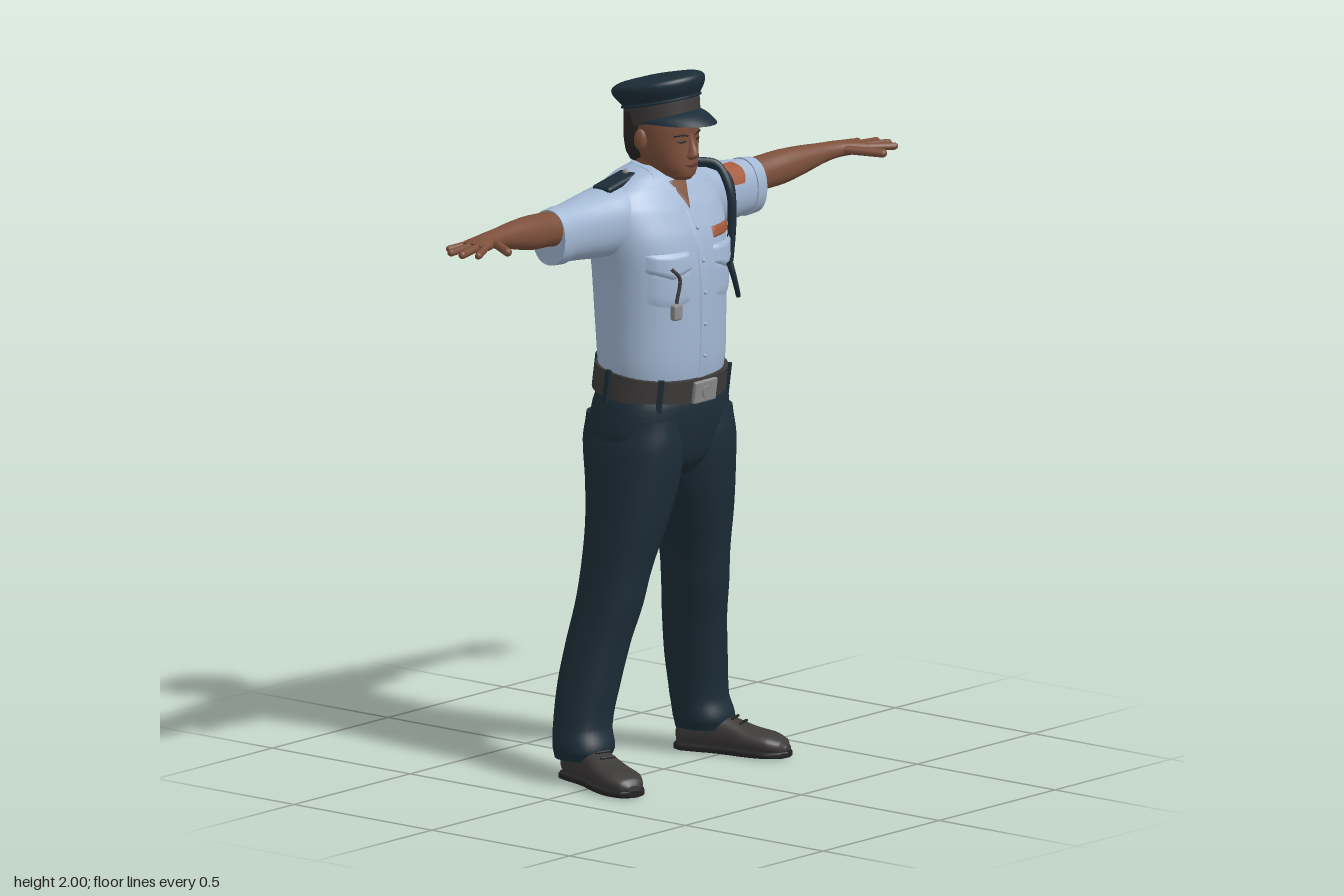
import * as THREE from 'three';
import { RoundedBoxGeometry } from 'three/addons/geometries/RoundedBoxGeometry.js';

const mat = (name, color, side = THREE.FrontSide) => Object.assign(new THREE.MeshStandardMaterial({ color, side }), { name });
const V = (x, y, z) => new THREE.Vector3(x, y, z);

// Smoothly subdivides rows of [t, aMin, aMax, bMin, bMax]
function dense(rows, sub = 5) {
  const out = [], R = i => rows[Math.max(0, Math.min(rows.length - 1, i))];
  for (let i = 0; i < rows.length - 1; i++) for (let k = 0; k < sub; k++) {
    const u = k / sub;
    out.push(R(i).map((p, j) => {
      const a = R(i - 1)[j], b = R(i + 1)[j], c = R(i + 2)[j];
      if (j === 0) return p + (b - p) * u;
      return 0.5 * (2 * p + (b - a) * u + (2 * a - 5 * p + 4 * b - c) * u * u + (3 * p - a - 3 * b + c) * u ** 3);
    }));
  }
  out.push(R(rows.length - 1));
  return out;
}

// Capped loft of superellipse sections along an axis; a,b are the other two axes in x,y,z order
function loft(axis, rows, n = 2.2, seg = 32) {
  const pos = [], idx = [], d = dense(rows);
  const put = (t, a, b) => pos.push(...(axis === 'y' ? [a, t, b] : axis === 'x' ? [t, a, b] : [a, b, t]));
  const pw = c => Math.sign(c) * Math.abs(c) ** (2 / n);
  const ring = ([t, a0, a1, b0, b1]) => {
    for (let i = 0; i < seg; i++) {
      const th = i / seg * Math.PI * 2;
      put(t, (a0 + a1) / 2 + (a1 - a0) / 2 * pw(Math.cos(th)), (b0 + b1) / 2 + (b1 - b0) / 2 * pw(Math.sin(th)));
    }
  };
  d.forEach(ring);
  for (let j = 0; j < d.length - 1; j++) for (let i = 0; i < seg; i++) {
    const a = j * seg + i, b = j * seg + (i + 1) % seg;
    idx.push(a, a + seg, b, b, a + seg, b + seg);
  }
  for (const [r, flip] of [[d[0], false], [d[d.length - 1], true]]) {
    const s = pos.length / 3;
    ring(r);
    put(r[0], (r[1] + r[2]) / 2, (r[3] + r[4]) / 2);
    for (let i = 0; i < seg; i++) {
      const a = s + i, b = s + (i + 1) % seg;
      idx.push(...(flip ? [b, a, s + seg] : [a, b, s + seg]));
    }
  }
  // Turn faces outward if the enclosed volume is negative
  const P = i => V().fromArray(pos, i * 3);
  let vol = 0;
  for (let i = 0; i < idx.length; i += 3) vol += P(idx[i]).dot(P(idx[i + 1]).cross(P(idx[i + 2])));
  if (vol < 0) idx.reverse();
  return finish(pos, idx);
}

function finish(pos, idx) {
  const g = new THREE.BufferGeometry();
  g.setAttribute('position', new THREE.Float32BufferAttribute(pos, 3));
  g.setIndex(idx);
  g.computeVertexNormals();
  return g;
}

// Open sheet from a rule f(u, v)
function sheet(nu, nv, f) {
  const pos = [], idx = [];
  for (let j = 0; j <= nv; j++) for (let i = 0; i <= nu; i++) pos.push(...f(i / nu, j / nv));
  for (let j = 0; j < nv; j++) for (let i = 0; i < nu; i++) {
    const a = j * (nu + 1) + i, b = a + nu + 1;
    idx.push(a, a + 1, b, b, a + 1, b + 1);
  }
  return finish(pos, idx);
}

// Front z of a vertical loft at (x, y)
function frontOf(rows, n) {
  const d = dense(rows);
  return (x, y) => {
    const i = d.findIndex((r, k) => k < d.length - 1 && y >= r[0] && y <= d[k + 1][0]);
    if (i < 0) return -1;
    const u = (y - d[i][0]) / (d[i + 1][0] - d[i][0]);
    const [, a0, a1, b0, b1] = d[i].map((p, j) => p + (d[i + 1][j] - p) * u);
    const q = Math.abs((x - (a0 + a1) / 2) / ((a1 - a0) / 2));
    return q >= 1 ? -1 : (b0 + b1) / 2 + (b1 - b0) / 2 * (1 - q ** n) ** (1 / n);
  };
}

// Patch lying on a front surface between x0..x1 and top/bottom curves of u
const patch = (front, x0, x1, top, bot, lift) => sheet(12, 8, (u, v) => {
  const x = x0 + (x1 - x0) * u, y = top(u) + (bot(u) - top(u)) * v;
  const edge = u === 0 || u === 1 || v === 0 || v === 1;
  return [x, y, front(x, y) + (edge ? lift * 0.4 : lift)];
});

export function createModel() {
  const D = THREE.DoubleSide;
  const shirt = mat('shirt blue', 0xa3b8d4, D), navy = mat('navy cloth', 0x1c2d38, D), skin = mat('skin', 0x7d503c, D);
  const charcoal = mat('charcoal leather', 0x3d3b3a), hair = mat('hair', 0x2b2826, D), metal = mat('metal', 0x8c8c8c);
  const copper = mat('badge copper', 0xa3583a, D), lips = mat('lips', 0x643a2e, D), sole = mat('sole', 0x252424);
  const root = new THREE.Group();
  const add = (name, geo, m, parent = root) => {
    const o = new THREE.Mesh(geo, m);
    o.name = name;
    parent.add(o);
    return o;
  };
  const tube = (pts, r) => new THREE.TubeGeometry(new THREE.CatmullRomCurve3(pts.map(p => V(...p))), 40, r, 8);

  // Shirt body
  const torso = [[1.09, -.185, .185, -.15, .13], [1.18, -.195, .195, -.158, .142], [1.3, -.198, .198, -.168, .145], [1.44, -.206, .206, -.175, .143],
    [1.54, -.222, .222, -.176, .125], [1.62, -.225, .225, -.165, .09], [1.67, -.195, .195, -.145, .06], [1.705, -.13, .13, -.12, .035], [1.73, -.06, .06, -.09, .01]];
  add('shirtBody', loft('y', torso, 2.3, 48), shirt);
  const chest = frontOf(torso, 2.3);
  add('placket', patch(chest, -.018, .018, () => 1.61, () => 1.12, .006), shirt);
  for (let y = 1.2; y < 1.6; y += .09) {
    const b = add('button', new THREE.SphereGeometry(.006, 8, 6), shirt);
    b.position.set(0, y, chest(0, y) + .006);
  }
  add('openNeck', patch(chest, -.035, .035, () => 1.7, u => 1.69 - .08 * (1 - Math.abs(2 * u - 1)), .004), skin);
  // Folded collar with pointed front ends
  add('collar', sheet(40, 5, (u, v) => {
    const a = .42 + u * (Math.PI * 2 - .84), f = ((1 + Math.cos(a)) / 2) ** 2;
    const r = .07 + .028 * v;
    const x = r * Math.sin(a) * (1 + .5 * f * v);
    const y = 1.74 - .075 * f - v * (.05 + .03 * f);
    return [x, y, Math.max(-.03 + r * 1.05 * Math.cos(a), chest(x, y) + .01)];
  }), shirt);

  // Trousers seat
  add('trouserSeat', loft('y', [[.84, -.11, .11, -.1, .07], [.9, -.2, .2, -.155, .115], [.98, -.222, .222, -.172, .135], [1.06, -.21, .21, -.165, .142], [1.12, -.19, .19, -.15, .132]], 2.4, 40), navy);

  // Belt, a little lower at the front
  const belt = new THREE.Group();
  belt.name = 'belt';
  belt.position.set(0, 1.122, -.008);
  belt.rotation.x = .14;
  root.add(belt);
  add('beltStrap', loft('y', [[-.036, -.206, .206, -.162, .156], [.036, -.203, .203, -.16, .154]], 2.3, 48), charcoal, belt);
  add('buckle', new RoundedBoxGeometry(.095, .064, .014, 2, .005), metal, belt).position.set(0, 0, .158);
  add('buckleBoss', new THREE.CylinderGeometry(.018, .018, .008, 16).rotateX(Math.PI / 2), metal, belt).position.set(0, 0, .166);
  for (const a of [.75, 1.7, 2.6, -.75, -1.7, -2.6]) {
    const q = (Math.abs(Math.sin(a)) ** 2.3 + Math.abs(Math.cos(a)) ** 2.3) ** (-1 / 2.3);
    const l = add('beltLoop', new THREE.BoxGeometry(.016, .095, .01), navy, belt);
    l.position.set(.207 * q * Math.sin(a), -.004, -.003 + .161 * q * Math.cos(a));
    l.rotation.y = a;
  }

  for (const s of [1, -1]) {
    const side = s > 0 ? 'left' : 'right';
    const X = rows => rows.map(([t, ...r]) => [s * t, ...r]);
    const mx = rows => rows.map(([t, a, b, ...r]) => [t, s > 0 ? a : -b, s > 0 ? b : -a, ...r]);

    // Trouser leg with slight breaks at the knee and hem
    add(side + 'TrouserLeg', loft('y', mx([[.07, .185, .335, -.15, .0], [.1, .176, .342, -.155, .012], [.16, .17, .332, -.16, -.004], [.28, .148, .312, -.162, .01],
      [.4, .125, .287, -.152, .03], [.5, .103, .268, -.138, .055], [.6, .082, .255, -.13, .072], [.72, .045, .245, -.13, .1],
      [.84, .008, .236, -.145, .122], [.95, .0, .225, -.165, .135], [1.03, .02, .205, -.16, .13]]), 2.3, 36), navy);

    // Shoe turned outward
    const shoe = new THREE.Group();
    shoe.name = side + 'Shoe';
    shoe.position.set(s * .283, 0, .01);
    shoe.rotation.y = s * .3;
    root.add(shoe);
    add('shoeUpper', loft('z', [[-.158, -.028, .028, .015, .08], [-.14, -.044, .044, .01, .105], [-.06, -.047, .047, .01, .12], [.0, -.05, .05, .01, .1],
      [.06, -.058, .058, .01, .078], [.12, -.057, .057, .01, .066], [.155, -.04, .04, .01, .052], [.17, -.018, .018, .015, .035]], 2.4), charcoal, shoe);
    add('shoeSole', loft('z', [[-.164, -.03, .03, 0, .022], [-.14, -.05, .05, 0, .024], [-.03, -.049, .049, 0, .022], [.06, -.063, .063, 0, .022],
      [.12, -.062, .062, 0, .022], [.16, -.042, .042, 0, .022], [.175, -.018, .018, .002, .02]], 4), sole, shoe);
    for (let i = 0; i < 3; i++) add('lace', new RoundedBoxGeometry(.05, .007, .008, 1, .003), sole, shoe).position.set(0, .112 - i * .011, -.015 + i * .025);

    // Sleeve, cuff and bare arm
    add(side + 'Sleeve', loft('x', X([[.09, 1.54, 1.7, -.14, .03], [.17, 1.495, 1.69, -.15, .045], [.24, 1.492, 1.68, -.142, .032], [.33, 1.5, 1.668, -.125, .016], [.425, 1.506, 1.66, -.108, .008]])), shirt);
    add(side + 'Cuff', loft('x', X([[.395, 1.5, 1.665, -.115, .013], [.436, 1.503, 1.661, -.109, .01]])), shirt);
    add(side + 'Arm', loft('x', X([[.38, 1.55, 1.655, -.1, .0], [.46, 1.562, 1.658, -.092, .003], [.54, 1.568, 1.664, -.08, .01], [.62, 1.585, 1.664, -.062, .014],
      [.7, 1.605, 1.66, -.044, .018], [.75, 1.612, 1.658, -.038, .026], [.79, 1.615, 1.655, -.036, .045], [.825, 1.62, 1.652, -.034, .057], [.84, 1.627, 1.645, -.028, .05]]), 2.2, 24), skin);
    // Fingers and thumb as [base x, base z, tip x, tip z, radius]
    for (const [x0, z0, x1, z1, r] of [[.815, -.023, .886, -.038, .009], [.82, .0, .922, .0, .0105], [.82, .024, .924, .043, .011], [.815, .043, .902, .085, .0105], [.755, .015, .812, .12, .0125]]) {
      const a = V(s * x0, 1.636, z0), b = V(s * x1, 1.63, z1), dir = b.clone().sub(a);
      const f = add(side + 'Finger', new THREE.CapsuleGeometry(r, dir.length() - r, 4, 10), skin);
      f.position.copy(a).add(b).multiplyScalar(.5);
      f.quaternion.setFromUnitVectors(V(0, 1, 0), dir.normalize());
    }

    // Shoulder boards
    const board = add(side + 'ShoulderBoard', new RoundedBoxGeometry(.13, .022, .066, 3, .01), navy);
    board.position.set(s * .155, 1.692, -.045);
    board.rotation.z = -s * .2;
    add(side + 'BoardButton', new THREE.SphereGeometry(.009, 10, 8), metal).position.set(s * .11, 1.714, -.045);

    // Chest pocket and pointed flap
    add(side + 'Pocket', patch(chest, s * .055, s * .172, () => 1.46, u => 1.365 - .012 * Math.sin(u * Math.PI), .007), shirt);
    add(side + 'PocketFlap', patch(chest, s * .05, s * .178, () => 1.505, u => 1.455 - .025 * (1 - Math.abs(2 * u - 1)), .014), shirt);

    // Ear
    const ear = add(side + 'Ear', new THREE.SphereGeometry(1, 14, 10), skin);
    ear.scale.set(.011, .031, .019);
    ear.position.set(s * .094, 1.808, -.005);
    ear.rotation.y = -s * .3;
  }

  // Neck and head
  add('neck', loft('y', [[1.6, -.065, .065, -.1, .05], [1.68, -.058, .058, -.094, .035], [1.78, -.06, .06, -.09, .035]]), skin);
  const skull = [[1.693, -.026, .026, .045, .09], [1.705, -.043, .043, .01, .1], [1.73, -.062, .062, -.04, .104], [1.765, -.077, .077, -.08, .103],
    [1.81, -.088, .088, -.098, .1], [1.86, -.091, .091, -.102, .102], [1.9, -.085, .085, -.095, .09]];
  add('head', loft('y', skull, 2.2), skin);
  const face = frontOf(skull, 2.2);
  add('hair', loft('y', [[1.735, -.055, .055, -.1, -.02], [1.765, -.08, .08, -.102, .0], [1.81, -.0925, .0925, -.106, .02], [1.88, -.095, .095, -.106, .03]]), hair);
  add('nose', loft('y', [[1.752, -.012, .012, .08, .108], [1.76, -.019, .019, .08, .122], [1.772, -.015, .015, .08, .124], [1.8, -.009, .009, .08, .111], [1.826, -.008, .008, .08, .103]], 2, 16), skin);
  add('mouth', patch(face, -.027, .027, u => 1.739 + .004 * Math.sin(u * Math.PI), u => 1.737 - .007 * Math.sin(u * Math.PI), .005), lips);
  for (const s of [1, -1]) {
    add('eye', patch(face, s * .019, s * .048, u => 1.806 + .004 * Math.sin(u * Math.PI), u => 1.806 - .004 * Math.sin(u * Math.PI), .003), hair);
    add('eyebrow', patch(face, s * .014, s * .056, u => 1.823 + .005 * Math.sin(u * 2.6), u => 1.818 + .004 * Math.sin(u * 2.6), .004), hair);
  }

  // Peaked cap, tipped up at the front
  const cap = new THREE.Group();
  cap.name = 'cap';
  cap.position.set(0, 1.87, 0);
  cap.rotation.x = -.24;
  root.add(cap);
  add('capBand', loft('y', [[-.018, -.1, .1, -.105, .104], [.045, -.104, .104, -.11, .112]], 2, 40), charcoal, cap);
  add('capCrown', loft('y', [[.038, -.105, .105, -.112, .114], [.058, -.118, .118, -.126, .128], [.078, -.126, .126, -.137, .136], [.092, -.122, .122, -.133, .132],
    [.102, -.1, .1, -.11, .11], [.107, -.05, .05, -.055, .055], [.108, -.005, .005, -.005, .005]], 2, 40), navy, cap);
  add('capPiping', new THREE.TorusGeometry(.106, .004, 8, 40).rotateX(Math.PI / 2).scale(1, 1, 1.07), navy, cap).position.y = .036;
  add('capVisor', sheet(28, 6, (u, v) => {
    const a = u * Math.PI, f = Math.sin(a);
    return [.102 * Math.cos(a), 1.858 + .034 * f - .034 * f * v * v, (.09 + .085 * v) * f];
  }), navy);

  // Shoulder cord with hanging loop
  add('shoulderCord', tube([[.17, 1.7, -.02], [.205, 1.69, .02], [.214, 1.62, .06], [.217, 1.52, .065], [.212, 1.42, .06]], .012), navy);
  add('armCord', tube([[.2, 1.69, -.04], [.222, 1.66, .045], [.232, 1.55, .06], [.214, 1.43, .06]], .008), navy);
  add('cordLoop', tube([[.212, 1.43, .06], [.207, 1.37, .085], [.185, 1.335, .115], [.15, 1.36, .14], [.12, 1.41, .15], [.105, 1.445, .148]], .007), navy);

  // Whistle on a short chain
  add('whistleChain', tube([[-.14, 1.47, .145], [-.115, 1.44, .155], [-.125, 1.37, .152]], .005), charcoal);
  add('whistle', new RoundedBoxGeometry(.034, .045, .02, 2, .006), metal).position.set(-.125, 1.345, .152);

  // Name plate and sleeve badge
  add('namePlate', patch(chest, .062, .165, () => 1.552, () => 1.522, .008), copper);
  add('sleeveBadge', sheet(6, 8, (u, v) => {
    const a = .35 + v * .85, w = .036 * Math.sin(.6 + v * 2);
    return [.3 + (u * 2 - 1) * w, 1.586 + .092 * Math.sin(a), -.055 + .086 * Math.cos(a)];
  }), copper);
  return root;
}
